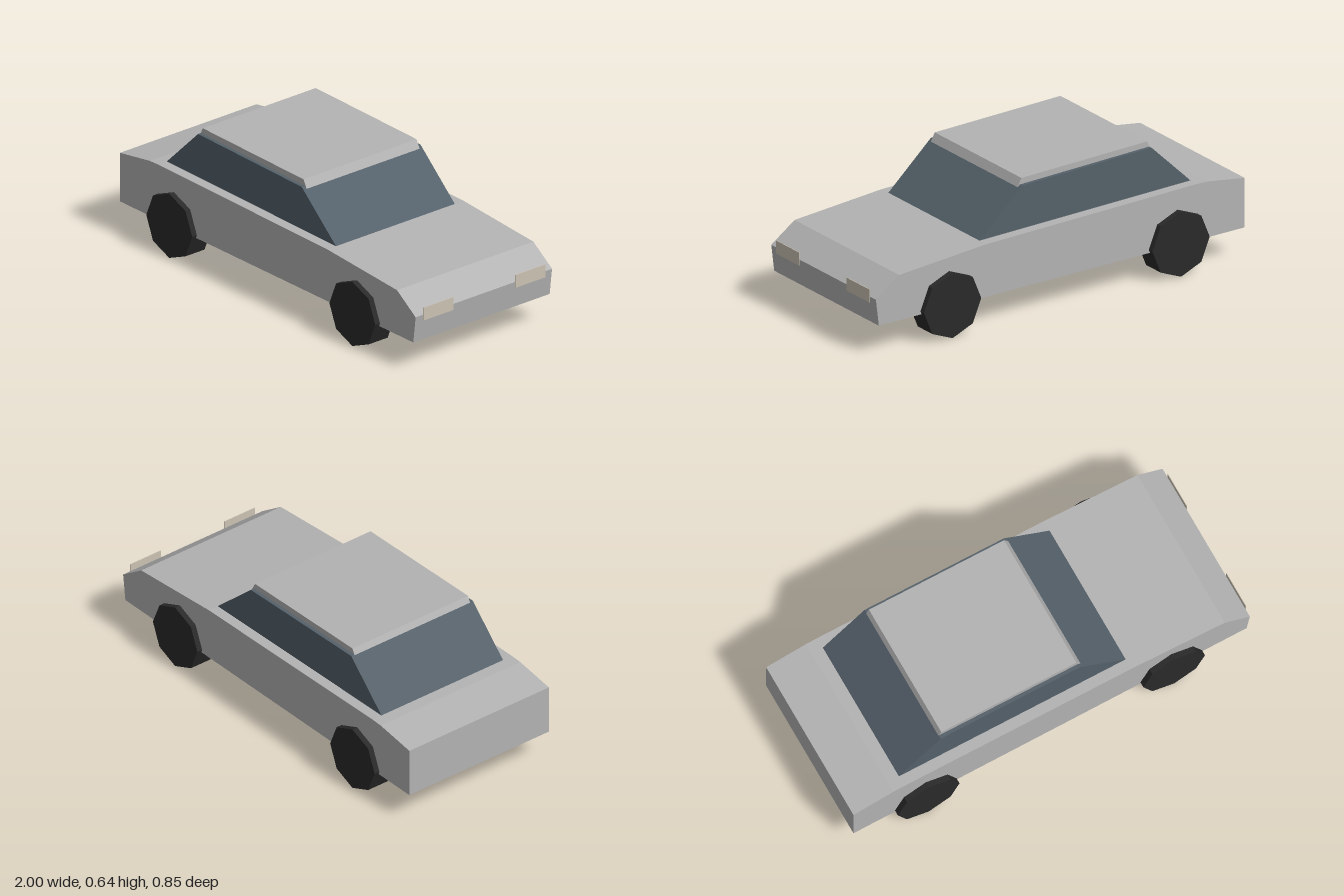
import * as THREE from 'three';

const flat = (name, color) => {
  const m = new THREE.MeshStandardMaterial({ color });
  m.name = name;
  return m;
};

// Side profile (x, y) extruded symmetrically across the width.
function slab(name, points, halfWidth, material) {
  const shape = new THREE.Shape(points.map(([x, y]) => new THREE.Vector2(x, y)));
  const geometry = new THREE.ExtrudeGeometry(shape, { depth: halfWidth * 2, bevelEnabled: false });
  geometry.translate(0, 0, -halfWidth);
  const mesh = new THREE.Mesh(geometry, material);
  mesh.name = name;
  return mesh;
}

export function createModel() {
  const car = new THREE.Group();
  car.name = 'car';
  const paint = flat('greyPaint', 0xb3b3b3);
  const glass = flat('tintedGlass', 0x55616a);
  const rubber = flat('blackRubber', 0x2a2a2a);
  const lens = flat('creamLens', 0xcbc3b3);

  // Lower body, with the nose at +x
  car.add(slab('body', [
    [-1, 0.14], [0.98, 0.14], [0.996, 0.267], [0.87, 0.355],
    [0.4, 0.39], [-0.74, 0.407], [-0.8, 0.405], [-1, 0.375],
  ], 0.396, paint));

  // Glass cabin
  car.add(slab('cabinGlass', [
    [-0.755, 0.395], [0.41, 0.38], [0.168, 0.597], [-0.532, 0.612],
  ], 0.345, glass));

  // Roof panel, slightly narrower than the cabin
  car.add(slab('roof', [
    [-0.538, 0.602], [0.181, 0.587], [0.16, 0.626], [-0.52, 0.639],
  ], 0.328, paint));

  // Eight-sided wheels
  const wheelGeometry = new THREE.CylinderGeometry(0.155, 0.155, 0.111, 8).toNonIndexed();
  wheelGeometry.rotateX(Math.PI / 2);
  wheelGeometry.computeVertexNormals();
  for (const [end, x] of [['front', 0.6], ['rear', -0.636]]) {
    for (const side of [-1, 1]) {
      const wheel = new THREE.Mesh(wheelGeometry, rubber);
      wheel.name = `${end}Wheel`;
      wheel.position.set(x, 0.155, side * 0.3675);
      car.add(wheel);
    }
  }

  // Thin headlight plates standing at the nose edge
  const lampGeometry = new THREE.BoxGeometry(0.003, 0.062, 0.174);
  for (const side of [-1, 1]) {
    const lamp = new THREE.Mesh(lampGeometry, lens);
    lamp.name = 'headlight';
    lamp.position.set(0.9985, 0.271, side * 0.267);
    car.add(lamp);
  }
  return car;
}
